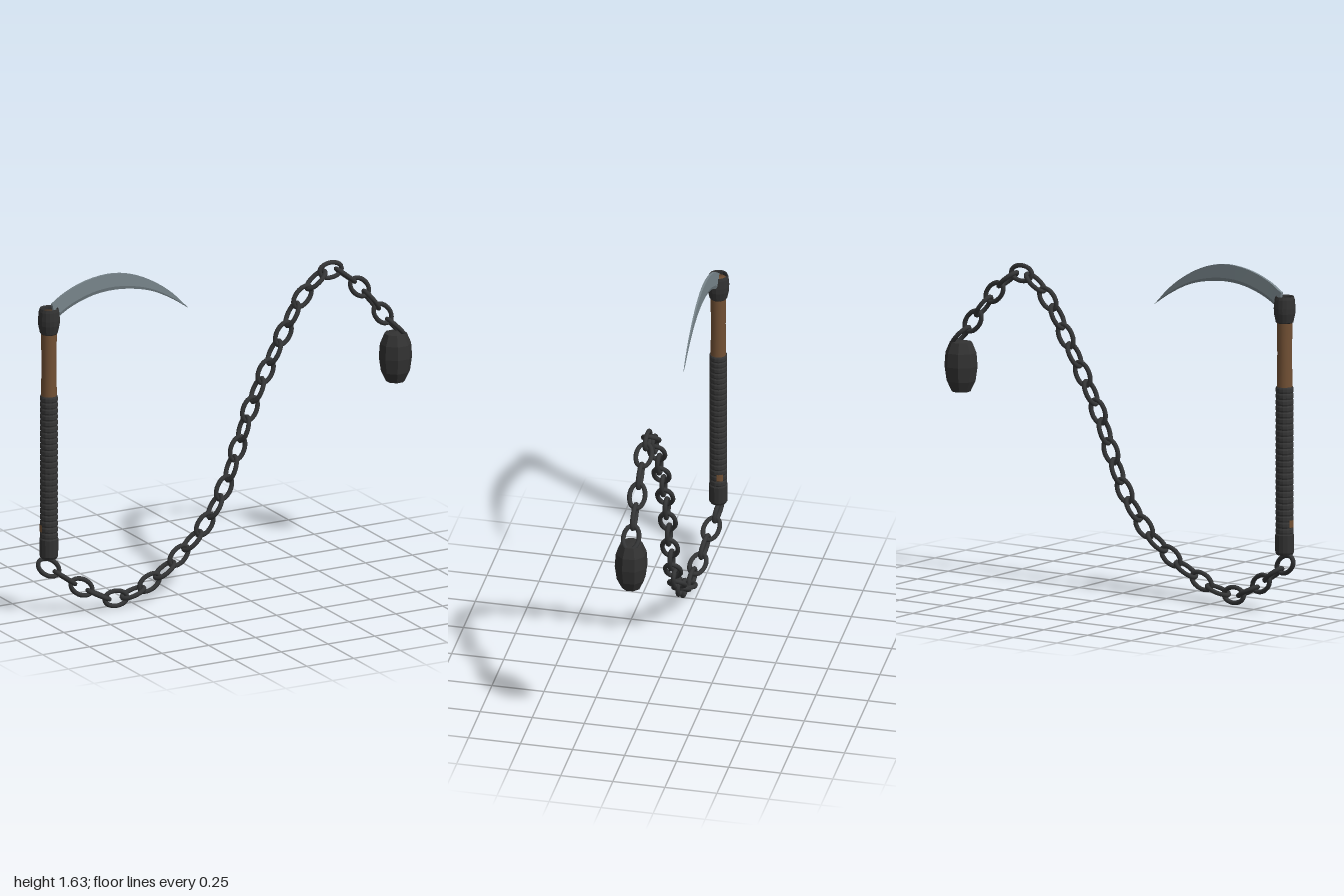
import * as THREE from 'three';

const mat = (name, color) => {
  const m = new THREE.MeshStandardMaterial({ color });
  m.name = name;
  return m;
};

export function createModel() {
  const root = new THREE.Group();
  root.name = 'chainSickle';
  const wood = mat('wood', 0x715034);
  const wrap = mat('gripWrap', 0x363636);
  const iron = mat('iron', 0x323232);
  const chainIron = mat('chainIron', 0x343536);
  const steel = mat('steel', 0x78858b);

  const HX = -0.935, Z = -0.013; // handle axis

  const add = (name, geo, material, parent = root) => {
    const mesh = new THREE.Mesh(geo, material);
    mesh.name = name;
    parent.add(mesh);
    return mesh;
  };
  // Turned part from [radius, height] pairs
  const lathe = (pts, sides, flat, phi = 0) => {
    let g = new THREE.LatheGeometry(pts.map(([r, y]) => new THREE.Vector2(r, y)), sides, phi);
    if (flat) {
      g = g.toNonIndexed();
      g.computeVertexNormals();
    }
    return g;
  };

  // Handle
  const handle = new THREE.Group();
  handle.name = 'handle';
  handle.position.set(HX, 0, Z);
  root.add(handle);
  add('woodShaft', lathe([[0.036, 0.35], [0.038, 1.0], [0.037, 1.12], [0.035, 1.25],
    [0.037, 1.36], [0.038, 1.45], [0.038, 1.5], [0, 1.5]], 16, false), wood, handle);

  // Wrapped grip with shallow ridges
  const ridges = [[0.036, 0.385]];
  const turns = 24, gy0 = 0.39, gy1 = 1.09;
  for (let i = 0; i < turns; i++) {
    const h = (gy1 - gy0) / turns, y = gy0 + i * h;
    ridges.push([0.0395, y], [0.0425, y + h * 0.25], [0.0425, y + h * 0.75]);
  }
  ridges.push([0.0395, gy1], [0.035, gy1]);
  add('grip', lathe(ridges, 14, true), wrap, handle);

  // Worn spots where wood shows through the wrap
  for (const deg of [112, 265]) {
    const a = THREE.MathUtils.degToRad(deg);
    const patch = add('wornPatch',
      new THREE.CylinderGeometry(0.0436, 0.0436, 0.035, 4, 1, true, a - 0.35, 0.7), wood, handle);
    patch.position.y = 0.44;
  }

  add('pommel', lathe([[0, 0.29], [0.038, 0.29], [0.044, 0.302], [0.045, 0.385],
    [0.038, 0.395]], 14, true), iron, handle);

  // Hollow head cap, wood end visible inside
  add('headCap', lathe([[0.034, 1.39], [0.042, 1.398], [0.051, 1.44], [0.052, 1.465],
    [0.048, 1.505], [0.043, 1.52], [0.039, 1.515], [0.038, 1.48]], 16, true), iron, handle);

  // Blade: spine and cutting-edge curves joined by five-point sections
  const curve = (pts) => new THREE.CatmullRomCurve3(pts.map(([x, y]) => new THREE.Vector3(x, y, 0)));
  const spine = curve([[-0.92, 1.535], [-0.85, 1.58], [-0.74, 1.622], [-0.61, 1.638],
    [-0.5, 1.62], [-0.39, 1.572], [-0.285, 1.5], [-0.19, 1.405]]);
  const edge = curve([[-0.905, 1.455], [-0.82, 1.505], [-0.71, 1.543], [-0.61, 1.555],
    [-0.5, 1.547], [-0.39, 1.52], [-0.285, 1.468], [-0.19, 1.405]]);
  const pos = [], idx = [], N = 24;
  for (let i = -1; i <= N; i++) {
    const u = Math.max(i, 0) / N;
    let s = spine.getPoint(u), e = edge.getPoint(u), t = 0.008 * (1 - 0.8 * u);
    if (i < 0) { s = e = s.clone().lerp(e, 0.5); t = 0; } // root cap
    if (i === N) t = 0;
    const b = s.clone().lerp(e, 0.8);
    for (const [p, z] of [[s, t], [s, -t], [b, -t], [e, 0], [b, t]]) pos.push(p.x, p.y, Z + z);
  }
  for (let i = 0; i <= N; i++) {
    for (let j = 0; j < 5; j++) {
      const a = i * 5 + j, d = i * 5 + (j + 1) % 5;
      idx.push(a, a + 5, d + 5, a, d + 5, d);
    }
  }
  let blade = new THREE.BufferGeometry();
  blade.setAttribute('position', new THREE.Float32BufferAttribute(pos, 3));
  blade.setIndex(idx);
  blade = blade.toNonIndexed();
  blade.computeVertexNormals();
  add('blade', blade, steel);

  // Chain: oval links alternating in plane and edge-on along a curve
  const path = new THREE.CatmullRomCurve3([
    [-0.937, 0.243, -0.012], [-0.778, 0.131, 0.018], [-0.607, 0.055, 0.04], [-0.425, 0.104, 0.037],
    [-0.26, 0.206, 0.022], [-0.115, 0.334, 0.01], [-0.008, 0.495, 0.003], [0.067, 0.676, -0.002],
    [0.136, 0.858, -0.007], [0.222, 1.029, -0.011], [0.318, 1.2, -0.013], [0.42, 1.366, -0.013],
    [0.57, 1.473, -0.013], [0.725, 1.366, -0.013], [0.848, 1.216, -0.013], [0.99, 1.065, -0.013],
  ].map((p) => new THREE.Vector3(...p)));
  const oval = [];
  for (let k = 0; k < 16; k++) {
    const a = (k / 16) * Math.PI * 2;
    oval.push(new THREE.Vector3(0.059 * Math.cos(a), 0.037 * Math.sin(a), 0));
  }
  const linkGeo = new THREE.TubeGeometry(new THREE.CatmullRomCurve3(oval, true), 24, 0.0112, 8, true);
  const chain = new THREE.Group();
  chain.name = 'chain';
  root.add(chain);
  const forward = new THREE.Vector3(0, 0, 1);
  for (let i = 0; i < 30; i++) {
    const u = i / 30;
    const link = add('chainLink', linkGeo, chainIron, chain);
    link.position.copy(path.getPoint(u));
    const tx = path.getTangent(u);
    const ty = forward.clone().cross(tx).normalize();
    const tz = tx.clone().cross(ty);
    link.quaternion.setFromRotationMatrix(new THREE.Matrix4().makeBasis(tx, ty, tz));
    if (i % 2) link.rotateX(Math.PI / 2);
  }

  // Faceted weight
  const weight = add('weight', lathe([[0, 0.875], [0.045, 0.875], [0.069, 0.925], [0.079, 0.995],
    [0.074, 1.06], [0.053, 1.11], [0, 1.115]], 8, true, 0.43), iron);
  weight.position.set(0.917, 0, Z);

  return root;
}
